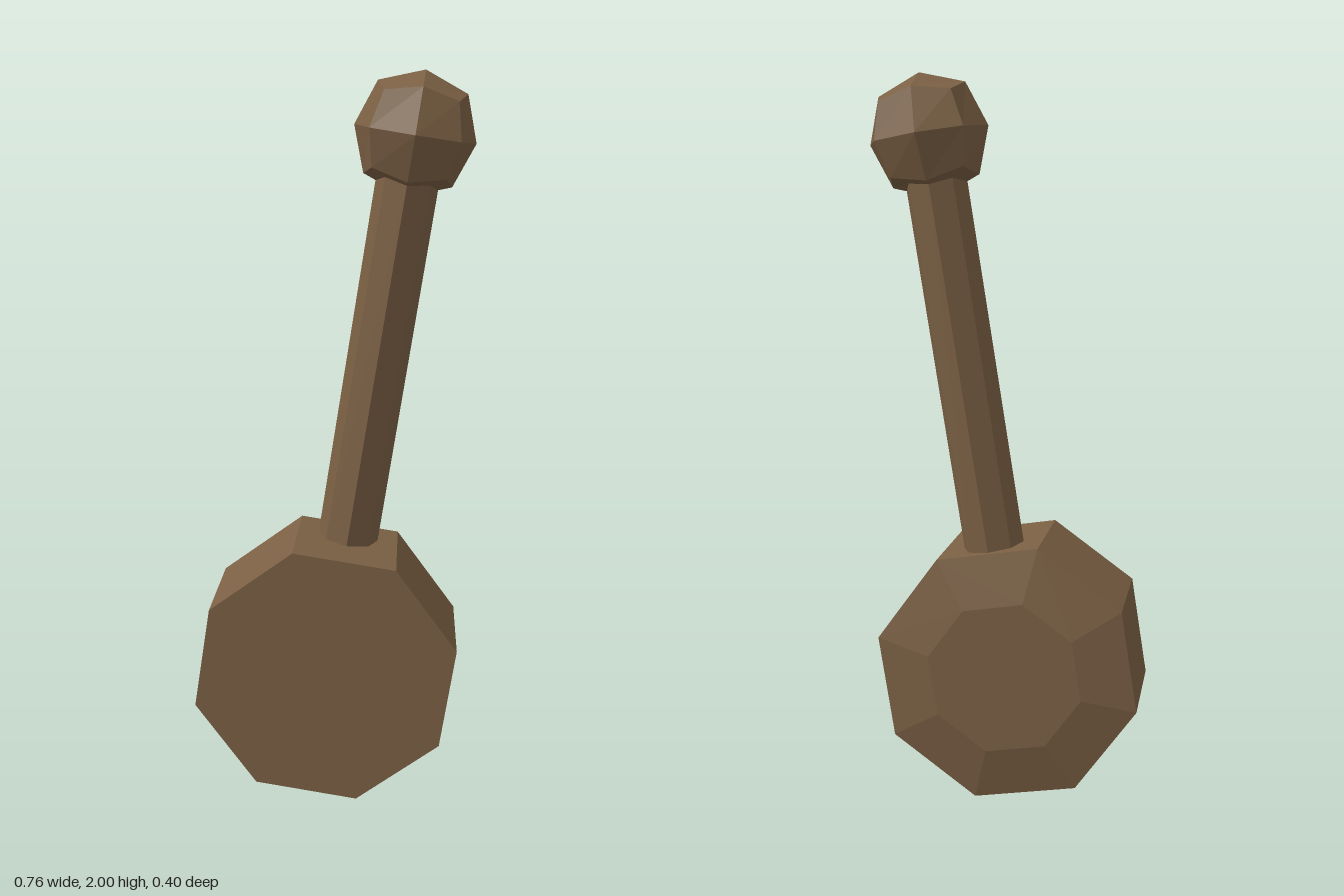
import * as THREE from 'three';

export function createModel() {
  const model = new THREE.Group();
  model.name = 'octagonalMallet';
  const wood = new THREE.MeshStandardMaterial({ color: 0x7b6044, flatShading: true });
  wood.name = 'brown wood';

  // Every part sits on one leaning axis through the centre of the block
  const axis = new THREE.Group();
  axis.name = 'leaningAxis';
  axis.position.set(-0.018, 0.364, 0);
  axis.rotation.z = -Math.atan2(0.23, 1.467);
  model.add(axis);

  const add = (name, geometry, x, y, z) => {
    const mesh = new THREE.Mesh(geometry, wood);
    mesh.name = name;
    mesh.position.set(x, y, z);
    axis.add(mesh);
  };

  // Eight-sided block, flat in front with a shallow bevel at the back
  const profile = [[0, -0.185], [0.219, -0.185], [0.373, -0.15], [0.373, 0.2], [0, 0.2]]
    .map(([r, d]) => new THREE.Vector2(r, d));
  const block = new THREE.LatheGeometry(profile, 8, Math.PI / 8);
  block.rotateX(Math.PI / 2);
  add('block', block, 0, 0, 0);

  // Eight-sided shaft, slightly narrower across than deep
  const shaft = new THREE.CylinderGeometry(0.097, 0.097, 1.08, 8);
  shaft.scale(0.88, 1, 1);
  add('shaft', shaft, 0, 0.86, -0.035);

  // Round knob: a subdivided cube pushed out to a sphere
  const knob = new THREE.BoxGeometry(2, 2, 2, 2, 2, 2);
  const p = knob.attributes.position;
  const v = new THREE.Vector3();
  for (let i = 0; i < p.count; i++) {
    v.fromBufferAttribute(p, i);
    v.setLength(v.length() < 1.1 ? 0.168 : 0.174);
    p.setXYZ(i, v.x * 0.985, v.y, v.z);
  }
  knob.computeVertexNormals();
  add('knob', knob, 0, 1.485, -0.035);

  return model;
}
